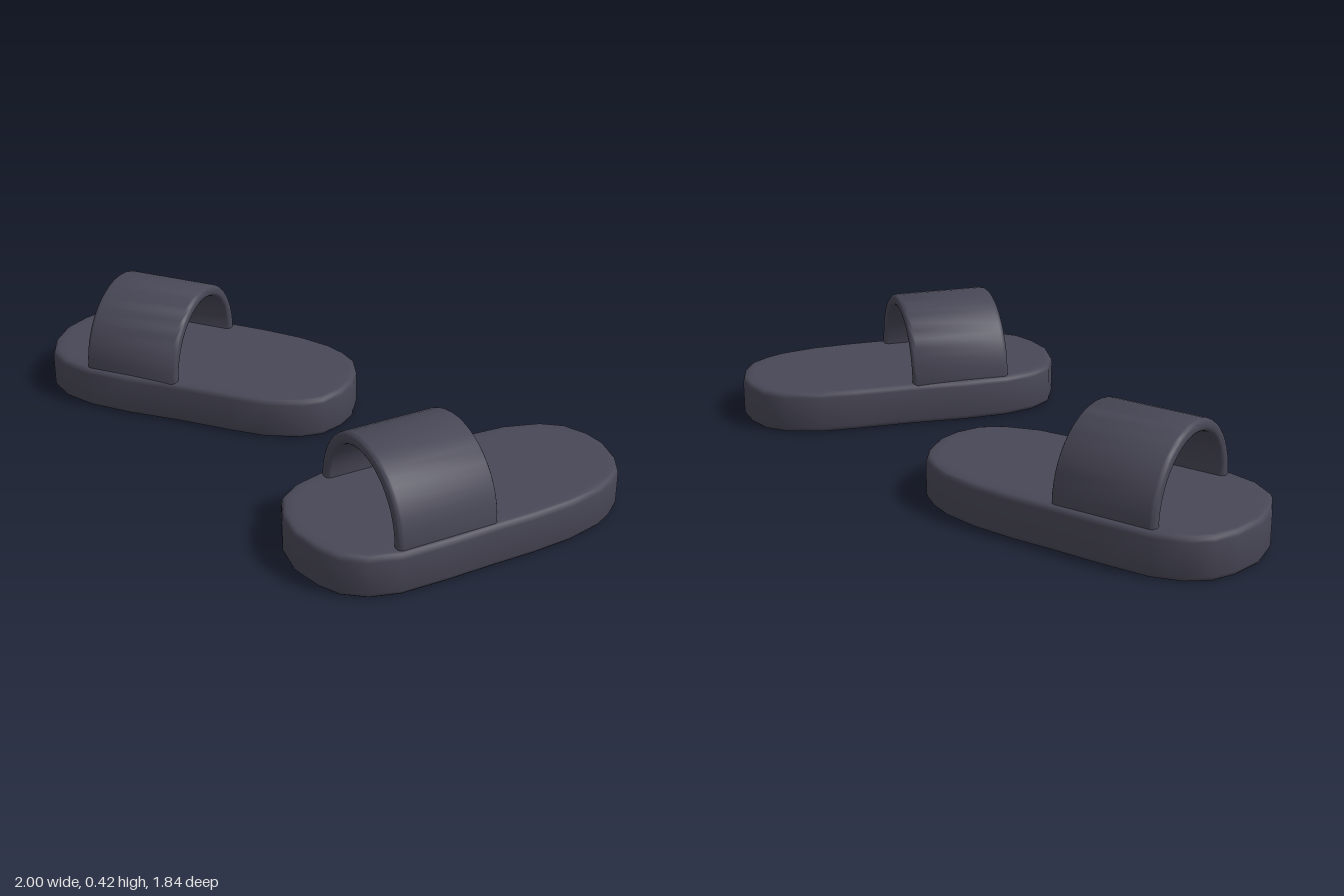
import * as THREE from 'three';
import { toCreasedNormals } from 'three/addons/utils/BufferGeometryUtils.js';

const rubber = new THREE.MeshStandardMaterial({ color: 0x484756 });
rubber.name = 'dark slate rubber';

// Footbed outline, heel toward +x, as [length, width] pairs
const OUTLINE = [
  [0.5, -0.227], [0.569, -0.173], [0.608, -0.09], [0.619, -0.009], [0.598, 0.088], [0.56, 0.159],
  [0.504, 0.203], [0.435, 0.237], [0.304, 0.266], [0.147, 0.276], [-0.006, 0.276], [-0.18, 0.28],
  [-0.353, 0.277], [-0.457, 0.247], [-0.531, 0.19], [-0.571, 0.113], [-0.597, 0.002], [-0.584, -0.105],
  [-0.54, -0.203], [-0.461, -0.26], [-0.347, -0.29], [-0.175, -0.294], [0.024, -0.28], [0.24, -0.276],
  [0.372, -0.268],
];

// Skin a list of closed rings; side = -1 mirrors the shape across z
function loft(rings, side) {
  const n = rings[0].length;
  const positions = rings.flat().flatMap(([x, y, z]) => [x, y, z * side]);
  const index = [];
  for (let i = 0; i < rings.length - 1; i++) {
    for (let j = 0; j < n; j++) {
      const a = i * n + j, b = i * n + (j + 1) % n;
      const c = a + n, d = b + n;
      if (side > 0) index.push(a, b, c, b, d, c);
      else index.push(a, c, b, b, c, d);
    }
  }
  const geometry = new THREE.BufferGeometry();
  geometry.setAttribute('position', new THREE.Float32BufferAttribute(positions, 3));
  geometry.setIndex(index);
  return toCreasedNormals(geometry, 0.7);
}

// Sole: rounded outer wall, thin bottom rim and a deep hollow underneath
function soleGeometry(side) {
  const H = 0.155;
  const profile = [
    [1, H], [0.04, H], [0.018, H], [0.009, H - 0.003], [0.003, H - 0.009], [0, H - 0.02],
    [0, 0.018], [0.003, 0.008], [0.008, 0.002], [0.014, 0], [0.02, 0.004],
    [0.022, 0.012], [0.022, 0.13], [1, 0.13],
  ];
  const rings = profile.map(([inset, y]) => OUTLINE.map(([u, v]) => (
    inset === 1 ? [0, y, 0] : [u * (1 - inset / 0.6), y, v * (1 - inset / 0.28)]
  )));
  return loft(rings, side);
}

// Strap: rounded-rectangle section swept over an elliptical arch
function strapGeometry(side) {
  const halfLength = 0.185, halfThick = 0.0225, r = 0.018;
  const section = [];
  for (let q = 0; q < 4; q++) {
    const su = q === 0 || q === 3 ? 1 : -1, sn = q < 2 ? 1 : -1;
    for (let k = 0; k <= 4; k++) {
      const f = (q + k / 4) * Math.PI / 2;
      section.push([su * (halfLength - r) + r * Math.cos(f), sn * (halfThick - r) + r * Math.sin(f)]);
    }
  }
  const a = 0.245, b = 0.2425, base = 0.155, foot = 0.115;
  const ring = (y, z, ny, nz, size = 1) => section.map(([u, n]) => [
    -0.17 + u * size, y + n * ny * size, -0.008 + z + n * nz * size,
  ]);
  const rings = [ring(foot, -a, 0, -1, 0), ring(foot, -a, 0, -1)];
  const steps = 24;
  for (let i = 0; i <= steps; i++) {
    const t = Math.PI * i / steps;
    const normal = new THREE.Vector2(Math.sin(t) / b, -Math.cos(t) / a).normalize();
    rings.push(ring(base + b * Math.sin(t), -a * Math.cos(t), normal.x, normal.y));
  }
  rings.push(ring(foot, a, 0, 1), ring(foot, a, 0, 1, 0));
  return loft(rings, side);
}

function createSlipper(name, side) {
  const slipper = new THREE.Group();
  slipper.name = name;
  const sole = new THREE.Mesh(soleGeometry(side), rubber);
  sole.name = 'sole';
  const strap = new THREE.Mesh(strapGeometry(side), rubber);
  strap.name = 'strap';
  slipper.add(sole, strap);
  slipper.position.set(0.422 * side, 0, 0.508 * side);
  slipper.rotation.y = 0.428 * side;
  return slipper;
}

export function createModel() {
  const model = new THREE.Group();
  model.name = 'pairOfSlippers';
  model.add(createSlipper('frontSlipper', 1), createSlipper('backSlipper', -1));
  return model;
}
